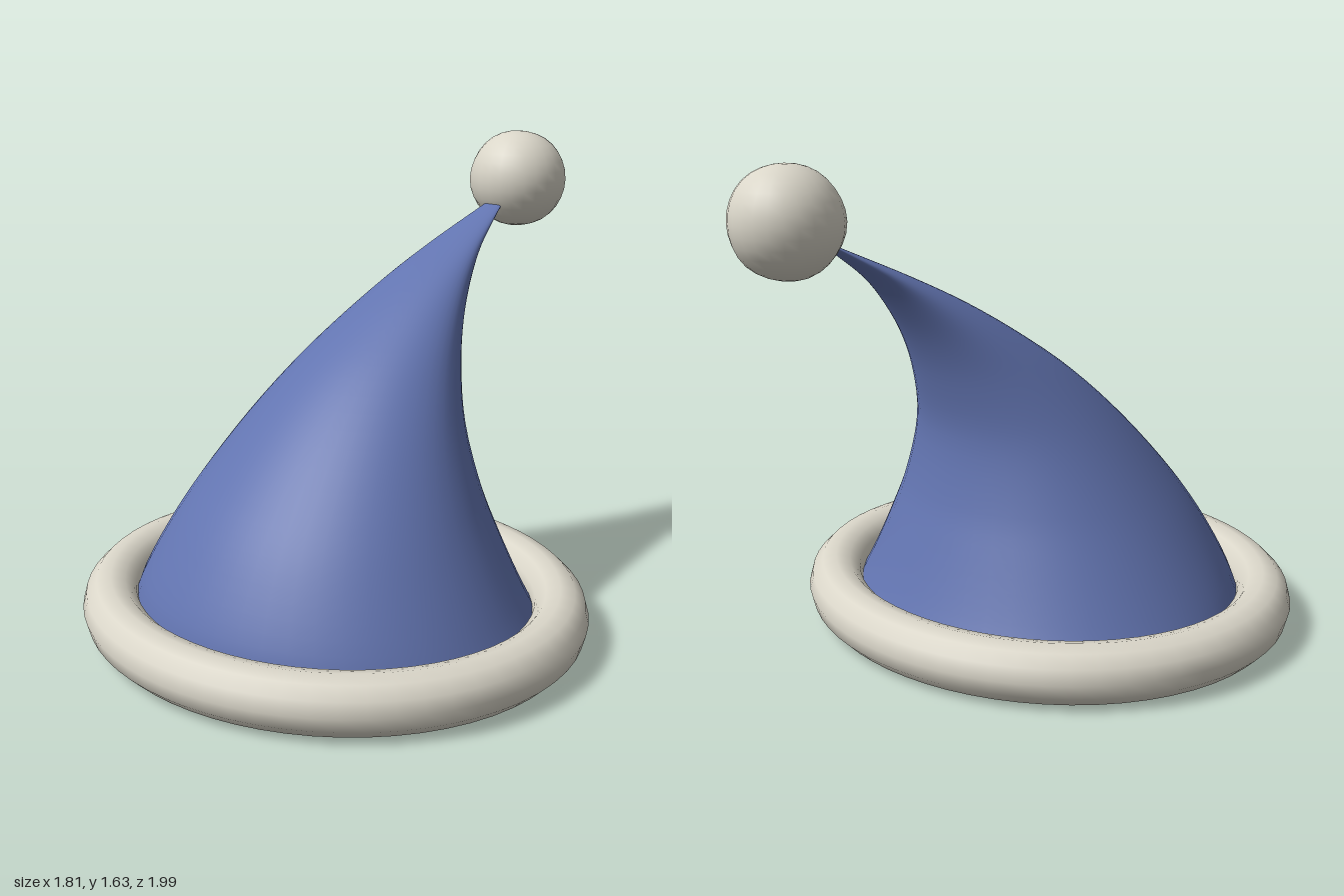
import * as THREE from 'three';

const blueFelt = new THREE.MeshStandardMaterial({ color: 0x6274b0, side: THREE.DoubleSide });
blueFelt.name = 'blueFelt';
const creamFur = new THREE.MeshStandardMaterial({ color: 0xdad6c9 });
creamFur.name = 'creamFur';

// Hat profile: height, front edge z, back edge z
const PROFILE = [
  [0.08, 0.82, -0.48], [0.19, 0.79, -0.43], [0.36, 0.70, -0.365], [0.50, 0.60, -0.32],
  [0.72, 0.40, -0.29], [0.90, 0.20, -0.325], [1.04, 0.0, -0.38], [1.16, -0.20, -0.455],
  [1.26, -0.40, -0.54], [1.35, -0.60, -0.655], [1.39, -0.69, -0.71],
];

// Leaning cone lofted from elliptical rings
function coneGeometry(rows = 40, sides = 48) {
  const curve = new THREE.CatmullRomCurve3(PROFILE.map((p) => new THREE.Vector3(...p)));
  const positions = [];
  const index = [];
  for (let i = 0; i <= rows; i++) {
    const { x: y, y: front, z: back } = curve.getPoint(i / rows);
    const halfWidth = Math.max(0.03, 0.685 - 0.546 * (y - 0.19));
    for (let j = 0; j < sides; j++) {
      const a = (j / sides) * Math.PI * 2;
      positions.push(
        halfWidth * Math.sin(a), y,
        (front + back) / 2 + ((front - back) / 2) * Math.cos(a),
      );
      if (i < rows) {
        const p = i * sides + j;
        const q = i * sides + ((j + 1) % sides);
        index.push(p, q, q + sides, p, q + sides, p + sides);
      }
    }
  }
  const geometry = new THREE.BufferGeometry();
  geometry.setAttribute('position', new THREE.Float32BufferAttribute(positions, 3));
  geometry.setIndex(index);
  geometry.computeVertexNormals();
  return geometry;
}

// Oval fur band of constant thickness
function brimGeometry() {
  const points = [];
  for (let i = 0; i < 32; i++) {
    const a = (i / 32) * Math.PI * 2;
    points.push(new THREE.Vector3(0.807 * Math.sin(a), 0.1, 0.168 + 0.733 * Math.cos(a)));
  }
  const path = new THREE.CatmullRomCurve3(points, true);
  return new THREE.TubeGeometry(path, 64, 0.097, 12, true);
}

// Slightly lumpy ball
function pompomGeometry() {
  const geometry = new THREE.SphereGeometry(0.177, 24, 16);
  const pos = geometry.attributes.position;
  const v = new THREE.Vector3();
  for (let i = 0; i < pos.count; i++) {
    v.fromBufferAttribute(pos, i);
    const lump = 1 + 0.02 * Math.sin(v.x * 22 + 1) * Math.cos(v.y * 20) * Math.cos(v.z * 18);
    v.multiplyScalar(lump);
    pos.setXYZ(i, v.x, v.y, v.z);
  }
  return geometry;
}

export function createModel() {
  const hat = new THREE.Group();
  hat.name = 'hat';
  const add = (name, geometry, material) => {
    const mesh = new THREE.Mesh(geometry, material);
    mesh.name = name;
    hat.add(mesh);
    return mesh;
  };
  add('cone', coneGeometry(), blueFelt);
  add('brim', brimGeometry(), creamFur);
  add('pompom', pompomGeometry(), creamFur).position.set(0, 1.46, -0.82);
  return hat;
}
